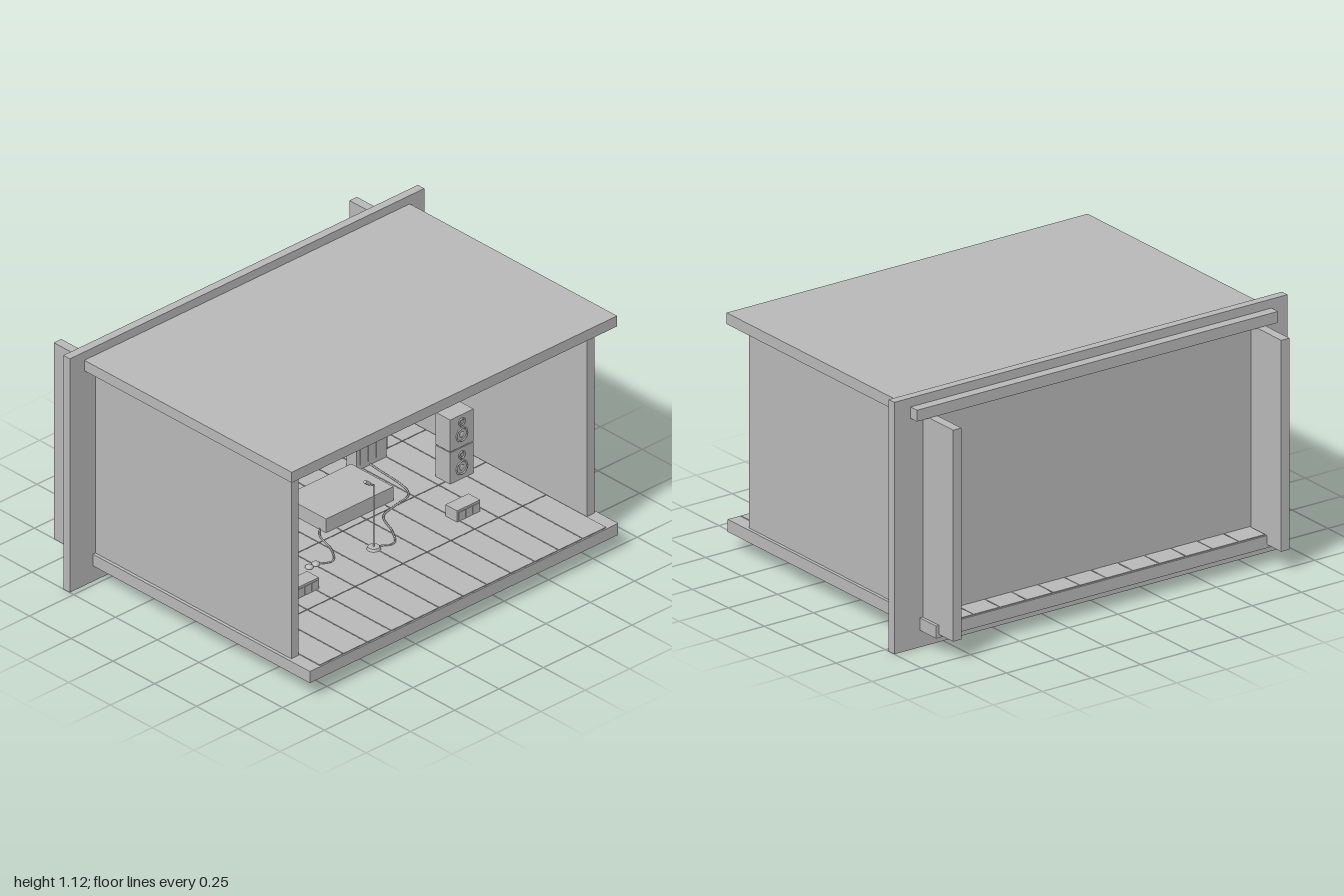
import * as THREE from 'three';

const grey = new THREE.MeshStandardMaterial({ color: 0xb8b8b8 });
grey.name = 'grey';

export function createModel() {
  const root = new THREE.Group();
  root.name = 'concertStage';

  const add = (name, geo, parent = root) => {
    const m = new THREE.Mesh(geo, grey);
    m.name = name;
    parent.add(m);
    return m;
  };
  // box given by its minimum and maximum on each axis
  const box = (name, x0, x1, y0, y1, z0, z1, parent) => {
    const m = add(name, new THREE.BoxGeometry(x1 - x0, y1 - y0, z1 - z0), parent);
    m.position.set((x0 + x1) / 2, (y0 + y1) / 2, (z0 + z1) / 2);
    return m;
  };
  // round bar between two points
  const bar = (name, a, b, r, parent) => {
    const p = new THREE.Vector3(...a), q = new THREE.Vector3(...b);
    const d = q.clone().sub(p);
    const m = add(name, new THREE.CylinderGeometry(r, r, d.length(), 8), parent);
    m.position.copy(p).add(q).multiplyScalar(0.5);
    m.quaternion.setFromUnitVectors(new THREE.Vector3(0, 1, 0), d.normalize());
    return m;
  };
  const group = (name) => {
    const g = new THREE.Group();
    g.name = name;
    root.add(g);
    return g;
  };

  // shell
  box('backWall', -1, 1, 0, 1.115, -0.562, -0.523);
  box('roof', -0.918, 0.918, 1.025, 1.075, -0.607, 0.717);
  box('floor', -0.87, 0.87, 0.075, 0.13, -0.675, 0.775);
  for (const s of [-1, 1])
    box('sideWall', s * 0.834 - 0.021, s * 0.834 + 0.021, 0.09, 1.026, -0.773, 0.648);

  // floor boards
  const boards = group('floorBoards');
  const bw = 1.62 / 12, bl = 1.44 / 4;
  for (let i = 0; i < 12; i++)
    for (let j = 0; j < 4; j++) {
      const x = -0.81 + i * bw, z = -0.67 + j * bl;
      box('board', x + 0.002, x + bw - 0.002, 0.128, 0.134, z + 0.002, z + bl - 0.002, boards);
    }

  // brickwork on the back wall, alternate rows shifted by half a brick
  const bricks = group('brickwork');
  for (let r = 0; r < 10; r++) {
    const y = 0.568 - r * 0.0435, odd = r % 2;
    for (let i = 0; i < 6; i++) {
      const x = (odd ? -0.75 : -0.625) + i * 0.25;
      box('brick', x + 0.005, x + 0.245, y - 0.037, y, -0.53, -0.512, bricks);
    }
  }

  for (const s of [-1, 1]) {
    // pleated curtain
    const curtain = group('curtain');
    for (let i = 0; i < 13; i++) {
      const fold = add('curtainFold', new THREE.CylinderGeometry(0.023, 0.023, 0.88, 12), curtain);
      fold.position.set(s * (0.403 + i * 0.0325), 0.572, -0.46 + (i % 2) * 0.012);
    }

    // upright truss with slanted braces
    const tower = group('uprightTruss');
    for (const x of [0.535, 0.585]) bar('rail', [s * x, 0.13, -0.31], [s * x, 0.95, -0.31], 0.005, tower);
    for (let i = 0; i < 10; i++) {
      const y = 0.15 + i * 0.08;
      bar('brace', [s * 0.535, y, -0.31], [s * 0.585, y + 0.075, -0.31], 0.005, tower);
    }

    // two stacked loudspeakers
    const stack = group('speakerStack');
    const cx = s * 0.645;
    for (const y of [0.13, 0.287]) {
      box('speakerCabinet', cx - 0.066, cx + 0.066, y, y + 0.153, -0.01, 0.078, stack);
      for (const [dy, r] of [[0.058, 0.03], [0.118, 0.016]]) {
        const ring = add('speakerRing', new THREE.TorusGeometry(r, 0.004, 6, 24), stack);
        ring.position.set(cx, y + dy, 0.079);
        const cone = add('speakerCone', new THREE.SphereGeometry(r * 0.45, 14, 8), stack);
        cone.scale.z = 0.35;
        cone.position.set(cx, y + dy, 0.078);
      }
    }

    // amplifier and floor monitor
    const ax = s * 0.455;
    box('amplifier', ax - 0.085, ax + 0.085, 0.13, 0.3, -0.32, -0.262);
    box('floorMonitor', ax - 0.065, ax + 0.065, 0.13, 0.188, 0.25, 0.32);
    for (let i = -1; i <= 1; i++) {
      box('amplifierGrille', ax + i * 0.045 - 0.018, ax + i * 0.045 + 0.018, 0.155, 0.265, -0.264, -0.259);
      box('monitorGrille', ax + i * 0.04 - 0.017, ax + i * 0.04 + 0.017, 0.14, 0.178, 0.318, 0.323);
    }
  }

  // overhead lighting truss
  const truss = group('lightingTruss');
  for (const y of [0.89, 0.937]) bar('rail', [-0.815, y, -0.31], [0.815, y, -0.31], 0.006, truss);
  for (let i = 0; i < 14; i++) {
    const x = -0.81 + i * 0.116;
    bar('brace', [x, 0.89, -0.31], [x + 0.09, 0.937, -0.31], 0.005, truss);
  }

  // bell-shaped spotlights tilted to the front
  const bell = new THREE.LatheGeometry([
    [0, 0], [0.029, 0], [0.033, -0.003], [0.031, 0.02], [0.026, 0.05], [0.016, 0.068], [0, 0.074],
  ].map(([x, y]) => new THREE.Vector2(x, y)), 20);
  for (let i = 0; i < 9; i++) {
    const x = -0.628 + i * 0.157;
    const lamp = add('spotlight', bell);
    lamp.position.set(x, 0.81, -0.275);
    lamp.rotation.x = -0.45;
    bar('spotlightHanger', [x, 0.865, -0.308], [x, 0.89, -0.31], 0.006);
  }

  // drum riser
  box('riser', -0.06, 0.32, 0.13, 0.2, -0.24, 0.013);

  // microphone on its stand
  const mic = group('microphoneStand');
  const base = add('base', new THREE.CylinderGeometry(0.025, 0.03, 0.012, 20), mic);
  base.position.set(-0.005, 0.139, 0.24);
  bar('pole', [-0.005, 0.13, 0.24], [-0.005, 0.44, 0.24], 0.004, mic);
  bar('boom', [-0.005, 0.435, 0.24], [-0.045, 0.465, 0.24], 0.004, mic);
  bar('microphone', [-0.03, 0.454, 0.24], [-0.055, 0.473, 0.24], 0.008, mic);

  // foot pedal and the cables on the floor
  for (const dx of [-0.018, 0.018]) {
    const p = add('pedal', new THREE.SphereGeometry(0.018, 14, 8));
    p.scale.y = 0.6;
    p.position.set(-0.285 + dx, 0.138, 0.17);
  }
  const cable = (pts) => add('cable', new THREE.TubeGeometry(
    new THREE.CatmullRomCurve3(pts.map(([x, z]) => new THREE.Vector3(x, 0.137, z))), 40, 0.004, 6));
  cable([[-0.265, 0.17], [-0.2, 0.2], [-0.14, 0.13], [-0.1, 0.02], [-0.055, -0.03]]);
  cable([[0.02, 0.24], [0.08, 0.27], [0.14, 0.2], [0.2, 0.08], [0.3, 0.05], [0.4, 0.02], [0.45, -0.27]]);

  return root;
}
